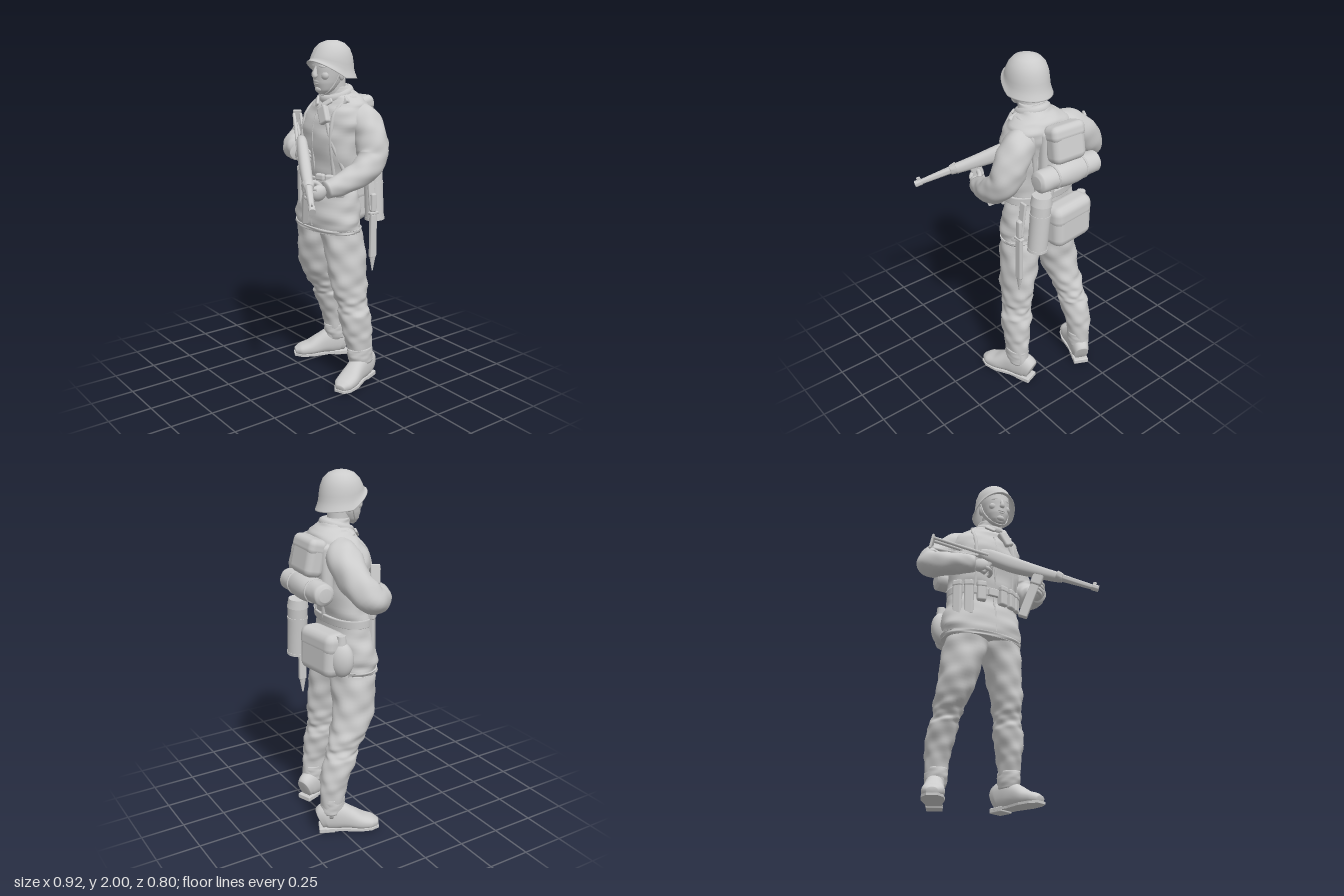
import * as THREE from 'three';
import { RoundedBoxGeometry } from 'three/addons/geometries/RoundedBoxGeometry.js';
import { toCreasedNormals } from 'three/addons/utils/BufferGeometryUtils.js';

const V = (x, y, z) => new THREE.Vector3(x, y, z);
const mat = new THREE.MeshStandardMaterial({ color: 0xcccccc, side: THREE.DoubleSide });

function add(parent, name, geo, pos = [0, 0, 0], rot = [0, 0, 0], scale = [1, 1, 1]) {
  const m = new THREE.Mesh(geo, mat);
  m.name = name;
  m.position.set(...pos);
  m.rotation.set(...rot);
  m.scale.set(...scale);
  parent.add(m);
  return m;
}

// Smooth skin through rows [x, y, z, radiusA, radiusB]; "fold" adds cloth wrinkles, "e" < 1 makes it boxier
function loft(rows, { ref = V(1, 0, 0), flat = null, fold = 0, e = 1, seg = 32, steps = 6 } = {}) {
  const path = new THREE.CatmullRomCurve3(rows.map(r => V(r[0], r[1], r[2])));
  const radii = new THREE.CatmullRomCurve3(rows.map(r => V(r[3], r[4] ?? r[3], 0)));
  const n = (rows.length - 1) * steps, pos = [], idx = [];
  const pw = v => Math.sign(v) * Math.abs(v) ** e;
  for (let i = -1; i <= n + 1; i++) {
    const t = Math.min(Math.max(i / n, 0), 1), cap = i < 0 || i > n ? 0.001 : 1;
    const c = path.getPoint(t), r = radii.getPoint(t);
    const tan = flat ?? path.getTangent(t);
    const side = ref.clone().addScaledVector(tan, -ref.dot(tan)).normalize();
    const other = tan.clone().cross(side).normalize();
    for (let j = 0; j < seg; j++) {
      const a = j / seg * Math.PI * 2, s = t * rows.length;
      const w = cap * (1 + fold * (Math.sin(3 * a + s * 3.1) + 0.7 * Math.sin(5 * a - s * 4.3) + 0.6 * Math.sin(2 * a + s * 7)));
      const p = c.clone().addScaledVector(side, r.x * w * pw(Math.cos(a))).addScaledVector(other, r.y * w * pw(Math.sin(a)));
      pos.push(p.x, p.y, p.z);
    }
  }
  for (let i = 0; i < n + 2; i++) for (let j = 0; j < seg; j++) {
    const k = (j + 1) % seg, a = i * seg + j, b = i * seg + k;
    idx.push(a, b, b + seg, a, b + seg, a + seg);
  }
  const g = new THREE.BufferGeometry();
  g.setAttribute('position', new THREE.Float32BufferAttribute(pos, 3));
  g.setIndex(idx);
  g.computeVertexNormals();
  return g;
}
const UP = V(0, 1, 0);
const box = (w, h, d, r = 0.012) => new RoundedBoxGeometry(w, h, d, 2, r);
const tube = (pts, r, seg = 24) => new THREE.TubeGeometry(new THREE.CatmullRomCurve3(pts.map(p => V(...p))), seg, r, 8);
const cyl = (r1, r2, h, n = 20) => toCreasedNormals(new THREE.CylinderGeometry(r1, r2, h, n), 0.7);

const TORSO = [
  [-0.06, 0.93, -0.09, 0.236, 0.132], [-0.06, 1.0, -0.09, 0.244, 0.138], [-0.058, 1.1, -0.095, 0.232, 0.125],
  [-0.055, 1.2, -0.1, 0.212, 0.112], [-0.05, 1.3, -0.1, 0.215, 0.127], [-0.04, 1.45, -0.1, 0.218, 0.142],
  [-0.03, 1.55, -0.115, 0.22, 0.145], [-0.015, 1.63, -0.135, 0.195, 0.135], [-0.005, 1.68, -0.14, 0.145, 0.11],
  [0, 1.715, -0.125, 0.09, 0.088], [0, 1.75, -0.11, 0.073, 0.073]];

// z of the jacket surface at x, y (s = 1 front, -1 back)
function skin(x, y, s = 1) {
  let i = 0;
  while (i < TORSO.length - 2 && TORSO[i + 1][1] < y) i++;
  const f = (y - TORSO[i][1]) / (TORSO[i + 1][1] - TORSO[i][1]);
  const [cx, , cz, a, b] = TORSO[i].map((v, k) => v + (TORSO[i + 1][k] - v) * f);
  return cz + s * b * Math.sqrt(Math.max(0.02, 1 - ((x - cx) / a) ** 2));
}

function makeHead() {
  const g = new THREE.Group();
  g.name = 'head';
  g.position.x = 0.007;
  add(g, 'neck', loft([[0, 1.64, -0.12, 0.07], [0, 1.72, -0.09, 0.062], [0, 1.8, -0.08, 0.065]], { flat: UP }));
  add(g, 'face', loft([[0, 1.713, -0.01, 0.028, 0.03], [0, 1.735, -0.022, 0.052, 0.052], [0, 1.775, -0.037, 0.07, 0.078],
    [0, 1.82, -0.046, 0.08, 0.088], [0, 1.87, -0.056, 0.086, 0.098], [0, 1.93, -0.065, 0.085, 0.097]], { flat: UP, e: 0.9 }));
  add(g, 'nose', loft([[0, 1.865, 0.034, 0.009, 0.008], [0, 1.835, 0.045, 0.011, 0.014], [0, 1.812, 0.048, 0.016, 0.016], [0, 1.803, 0.042, 0.01]], { seg: 12 }));
  const ball = new THREE.SphereGeometry(1, 16, 12);
  for (const s of [-1, 1]) {
    add(g, 'brow', ball, [s * 0.034, 1.864, 0.024], [0, s * 0.35, -s * 0.08], [0.028, 0.009, 0.014]);
    add(g, 'eye', ball, [s * 0.034, 1.845, 0.027], [0, s * 0.4, 0], [0.014, 0.005, 0.007]);
    add(g, 'cheek', ball, [s * 0.042, 1.815, 0.012], [0, 0, 0], [0.028, 0.026, 0.022]);
    add(g, 'ear', ball, [s * 0.086, 1.82, -0.07], [0, s * 0.3, 0], [0.013, 0.033, 0.022]);
  }
  add(g, 'upperLip', ball, [0, 1.782, 0.035], [0, 0, 0], [0.025, 0.006, 0.01]);
  add(g, 'lowerLip', ball, [0, 1.77, 0.033], [0, 0, 0], [0.021, 0.006, 0.01]);
  add(g, 'chin', ball, [0, 1.739, 0.021], [0, 0, 0], [0.027, 0.019, 0.018]);
  add(g, 'chinStrap', tube([[-0.095, 1.86, -0.06], [-0.081, 1.79, -0.04], [-0.052, 1.735, -0.015], [0, 1.706, 0.002],
    [0.052, 1.735, -0.015], [0.081, 1.79, -0.04], [0.095, 1.86, -0.06]], 0.005));
  // Helmet: turned dome, with the rim lifted at the front and drawn down behind
  const prof = [[0.001, 0.16], [0.035, 0.157], [0.07, 0.143], [0.097, 0.115], [0.112, 0.076], [0.117, 0.036],
    [0.118, 0.012], [0.124, -0.012], [0.132, -0.033], [0.134, -0.038], [0.129, -0.038], [0.11, 0], [0.105, 0.05]];
  const dome = new THREE.LatheGeometry(prof.map(p => new THREE.Vector2(...p)), 40);
  const p = dome.attributes.position;
  for (let i = 0; i < p.count; i++) {
    const y = p.getY(i), z = p.getZ(i), low = Math.min(1, Math.max(0, (0.09 - y) / 0.12));
    p.setY(i, y + low * z * (z > 0 ? 0.68 : 0.1));
    p.setZ(i, z * (1.03 + 0.06 * low));
  }
  dome.computeVertexNormals();
  add(g, 'helmet', dome, [0, 1.84, -0.068], [0, 0, 0], [0.97, 1, 1]);
  return g;
}

// Foot pointing along its own +z, heel at the origin
function makeBoot(x, z, turn) {
  const g = new THREE.Group();
  g.name = 'boot';
  g.position.set(x, 0, z);
  g.rotation.y = turn;
  add(g, 'upper', loft([[0, 0.075, 0.005, 0.042, 0.06], [0, 0.09, 0.04, 0.052, 0.08], [0, 0.093, 0.1, 0.055, 0.083], [0, 0.076, 0.17, 0.056, 0.064],
    [0, 0.053, 0.24, 0.063, 0.045], [0, 0.042, 0.3, 0.056, 0.034], [0, 0.032, 0.337, 0.028, 0.021]], { e: 0.85 }));
  const sole = new THREE.Shape([[0.035, 0], [0.047, 0.04], [0.046, 0.13], [0.064, 0.23], [0.058, 0.3], [0.03, 0.343],
    [-0.03, 0.343], [-0.058, 0.3], [-0.064, 0.23], [-0.046, 0.13], [-0.047, 0.04], [-0.035, 0]].map(q => new THREE.Vector2(...q)));
  add(g, 'sole', new THREE.ExtrudeGeometry(sole, { depth: 0.014, bevelEnabled: false }), [0, 0.024, 0], [Math.PI / 2, 0, 0]);
  add(g, 'heel', box(0.09, 0.03, 0.09, 0.006), [0, 0.015, 0.045]);
  return g;
}

function makeHand(name, pos, rot, mirror = 1) {
  const g = new THREE.Group();
  g.name = name;
  g.position.set(...pos);
  g.rotation.set(...rot);
  g.scale.x = mirror;
  add(g, 'palm', new THREE.SphereGeometry(1, 16, 12), [0, 0, 0], [0, 0, 0], [0.034, 0.048, 0.05]);
  for (let i = 0; i < 4; i++)
    add(g, 'finger', tube([[0.01, 0.033 - i * 0.022, 0.025], [-0.01, 0.033 - i * 0.022, 0.05], [-0.045, 0.03 - i * 0.02, 0.052], [-0.062, 0.03 - i * 0.02, 0.035]], 0.0125, 10));
  add(g, 'thumb', tube([[-0.01, 0.03, -0.02], [-0.035, 0.045, 0], [-0.045, 0.048, 0.025]], 0.014, 10));
  return g;
}

// Weapon lies along its own +x, from butt to muzzle
function makeGun() {
  const g = new THREE.Group();
  g.name = 'gun';
  const d = V(0.83, -0.36, 0.485).normalize(), side = d.clone().cross(UP).normalize();
  g.quaternion.setFromRotationMatrix(new THREE.Matrix4().makeBasis(d, side.clone().cross(d), side));
  g.position.set(-0.38, 1.55, -0.1);
  add(g, 'receiver', loft([[0.3, 0, 0, 0.026, 0.025], [0.36, -0.004, 0, 0.044, 0.032], [0.5, -0.012, 0, 0.047, 0.034],
    [0.65, -0.01, 0, 0.038, 0.032], [0.77, -0.004, 0, 0.03, 0.028], [0.81, 0, 0, 0.026, 0.026]], { ref: UP, e: 0.85 }));
  const along = [0, 0, -Math.PI / 2];
  add(g, 'barrelNut', cyl(0.027, 0.035, 0.035), [0.79, 0, 0], along);
  add(g, 'barrel', cyl(0.014, 0.022, 0.21), [0.91, 0, 0], along);
  add(g, 'muzzle', cyl(0.019, 0.019, 0.04), [1.005, 0, 0], along);
  add(g, 'frontSight', box(0.022, 0.03, 0.01, 0.004), [0.995, 0.02, 0]);
  add(g, 'magazineHousing', box(0.065, 0.08, 0.05), [0.675, -0.06, 0]);
  add(g, 'magazine', box(0.052, 0.24, 0.035, 0.006), [0.675, -0.19, 0]);
  add(g, 'grip', box(0.045, 0.11, 0.035), [0.37, -0.065, 0], [0, 0, -0.3]);
  for (const s of [-1, 1])
    add(g, 'stockArm', tube([[0.01, 0, s * 0.02], [0.18, -0.004, s * 0.02], [0.36, -0.01, s * 0.026]], 0.01));
  add(g, 'stockBrace', tube([[0.01, -0.06, 0], [0.15, -0.045, 0], [0.32, -0.015, 0]], 0.01));
  add(g, 'buttPlate', box(0.016, 0.1, 0.05, 0.006), [0.005, -0.025, 0], [0, 0, 0.15]);
  return g;
}

export function createModel() {
  const model = new THREE.Group();
  model.name = 'soldier';
  model.add(makeHead(), makeGun());

  // Jacket, hem, collar and front closure
  add(model, 'jacket', loft(TORSO, { flat: UP, fold: 0.018, e: 0.9, seg: 56 }));
  add(model, 'hem', loft([[-0.06, 0.925, -0.09, 0.238, 0.137], [-0.06, 0.95, -0.09, 0.246, 0.142]], { flat: UP, fold: 0.014, e: 0.9, seg: 48 }));
  add(model, 'collar', new THREE.TorusGeometry(0.076, 0.02, 10, 32), [0, 1.705, -0.105], [Math.PI / 2 + 0.35, 0, 0], [1, 1.05, 1.3]);
  for (const s of [-1, 1]) add(model, 'lapel', box(0.07, 0.03, 0.015, 0.007), [s * 0.045, 1.665, -0.005], [-0.5, s * 0.35, s * 0.8]);
  add(model, 'frontSeam', tube([0.96, 1.1, 1.2, 1.35, 1.5, 1.6].map(y => [-0.03, y, skin(-0.03, y)]), 0.006));

  // Arms and hands
  const sleeve = { fold: 0.028, steps: 8 };
  add(model, 'rightArm', loft([[-0.1, 1.61, -0.15, 0.07], [-0.2, 1.57, -0.18, 0.095], [-0.31, 1.48, -0.175, 0.088], [-0.378, 1.395, -0.125, 0.08],
    [-0.33, 1.368, -0.045, 0.07], [-0.24, 1.365, 0.01, 0.06], [-0.165, 1.365, 0.04, 0.048]], { ...sleeve, ref: V(-1, 1, 0) }));
  add(model, 'leftArm', loft([[0.08, 1.605, -0.15, 0.07], [0.155, 1.56, -0.18, 0.09], [0.21, 1.47, -0.185, 0.092], [0.242, 1.37, -0.165, 0.085],
    [0.255, 1.3, -0.085, 0.074], [0.23, 1.25, 0.02, 0.062], [0.205, 1.22, 0.12, 0.048]], { ...sleeve, ref: V(1, 1, 0) }));
  model.add(makeHand('leftHand', [0.185, 1.205, 0.155], [0, 0, -0.3]));
  model.add(makeHand('rightHand', [-0.13, 1.365, 0.045], [0, 1.0, -0.4], -1));

  // Trousers, bunched above the boot cuffs, and boots
  const cloth = { flat: UP, fold: 0.036, steps: 7 };
  add(model, 'rightLeg', loft([[-0.145, 1.0, -0.09, 0.13, 0.12], [-0.16, 0.88, -0.1, 0.127, 0.125], [-0.185, 0.74, -0.11, 0.112, 0.122],
    [-0.205, 0.62, -0.14, 0.1, 0.115], [-0.215, 0.54, -0.18, 0.085, 0.105], [-0.218, 0.485, -0.205, 0.076, 0.093], [-0.228, 0.44, -0.222, 0.083, 0.095],
    [-0.232, 0.34, -0.258, 0.077, 0.088], [-0.235, 0.25, -0.278, 0.066, 0.075], [-0.237, 0.1, -0.285, 0.052, 0.062]], cloth));
  add(model, 'leftLeg', loft([[0.04, 1.0, -0.09, 0.125, 0.12], [0.07, 0.88, -0.1, 0.115, 0.125], [0.1, 0.74, -0.11, 0.096, 0.122],
    [0.115, 0.62, -0.115, 0.083, 0.118], [0.125, 0.54, -0.125, 0.077, 0.105], [0.13, 0.485, -0.132, 0.073, 0.093], [0.138, 0.43, -0.14, 0.084, 0.1],
    [0.15, 0.33, -0.152, 0.072, 0.096], [0.157, 0.25, -0.165, 0.06, 0.088], [0.155, 0.1, -0.19, 0.048, 0.066]], cloth));
  for (const [x, z, w, d] of [[-0.235, -0.28, 0.06, 0.07], [0.158, -0.17, 0.056, 0.083]])
    add(model, 'gaiter', loft([[x, 0.12, z - 0.01, w, d - 0.008], [x, 0.17, z, w + 0.004, d], [x, 0.215, z, w + 0.003, d]], { flat: UP, fold: 0.015 }));
  model.add(makeBoot(-0.205, -0.355, -0.45), makeBoot(0.125, -0.275, 0.34));

  // Belt, buckle, pouches and shoulder straps
  add(model, 'belt', loft([[-0.053, 1.195, -0.1, 0.22, 0.121], [-0.053, 1.24, -0.1, 0.22, 0.126]], { flat: UP, e: 0.9, seg: 48 }));
  add(model, 'buckle', box(0.06, 0.05, 0.02, 0.006), [-0.04, 1.217, 0.022]);
  for (const x of [-0.24, -0.185, -0.115, 0.025, 0.085, 0.13]) {
    const turn = (x + 0.05) * 4.2, z = skin(x, 1.2) + 0.012, long = x < -0.15 ? 0.1 : 0;
    add(model, 'pouch', box(0.055, 0.12 + long, 0.045), [x, 1.205 - long / 2, z], [0, turn, 0]);
    add(model, 'pouchFlap', box(0.059, 0.04, 0.052), [x, 1.25, z], [0, turn, 0]);
  }
  for (const [x0, x1] of [[-0.15, -0.115], [0.1, 0.11]]) {
    const front = [1.25, 1.35, 1.45, 1.55, 1.62].map(y => [x0, y, skin(x0, y)]);
    const back = [1.62, 1.5, 1.35, 1.22].map((y, i) => [x1 * (1 - i * 0.2), y, skin(x1 * (1 - i * 0.2), y, -1)]);
    add(model, 'shoulderStrap', tube([...front, [x1, 1.69, -0.13], ...back], 0.012, 60));
    add(model, 'strapBuckle', box(0.05, 0.035, 0.04, 0.008), [x1, 1.675, -0.09], [-0.5, 0, -Math.sign(x1) * 0.6]);
  }
  add(model, 'chestLamp', box(0.065, 0.1, 0.04), [0.045, 1.6, 0.015], [-0.2, 0.1, 0.5]);
  add(model, 'chestStrap', tube([1.56, 1.48, 1.4, 1.3].map((y, i) => [0.07 + i * 0.025, y, skin(0.07 + i * 0.025, y)]), 0.012));

  // Back load: pack, rolled sheet with ties, canister, bread bag and canteen
  add(model, 'pack', box(0.21, 0.2, 0.11, 0.04), [-0.055, 1.575, -0.308], [0.2, 0, 0.03]);
  add(model, 'packFlap', box(0.218, 0.09, 0.11, 0.035), [-0.055, 1.635, -0.298], [0.25, 0, 0.03]);
  add(model, 'packFrame', box(0.24, 0.32, 0.07, 0.03), [-0.055, 1.49, -0.25]);
  add(model, 'sheetRoll', loft([[-0.262, 1.41, -0.325, 0.035], [-0.245, 1.41, -0.325, 0.059], [-0.15, 1.41, -0.325, 0.062],
    [0.04, 1.41, -0.325, 0.062], [0.135, 1.41, -0.325, 0.059], [0.152, 1.41, -0.325, 0.035]], { ref: UP, fold: 0.01 }));
  for (const x of [-0.15, 0.04])
    add(model, 'rollTie', new THREE.TorusGeometry(0.062, 0.006, 8, 24), [x, 1.41, -0.325], [0, Math.PI / 2, 0]);
  const can = new THREE.Group();
  can.name = 'canister';
  can.position.set(0.105, 1.13, -0.3);
  can.rotation.z = 0.08;
  add(can, 'body', cyl(0.055, 0.055, 0.3, 24), [0, -0.01, 0]);
  add(can, 'lid', cyl(0.052, 0.06, 0.05, 24), [0, 0.15, 0]);
  for (const y of [-0.15, 0.06]) add(can, 'rib', cyl(0.058, 0.058, 0.014, 24), [0, y, 0]);
  model.add(can);
  add(model, 'breadBag', box(0.28, 0.25, 0.13, 0.05), [-0.125, 1.06, -0.27], [0.05, 0.12, 0]);
  add(model, 'bagFlap', box(0.288, 0.13, 0.14, 0.05), [-0.125, 1.12, -0.265], [0.05, 0.12, 0]);
  add(model, 'canteen', new THREE.SphereGeometry(1, 24, 16), [-0.255, 1.04, -0.23], [0, 0.7, 0], [0.07, 0.1, 0.055]);
  add(model, 'canteenCap', cyl(0.025, 0.03, 0.05), [-0.255, 1.15, -0.23]);

  // Bayonet in its scabbard on the left hip
  const knife = new THREE.Group();
  knife.name = 'bayonet';
  knife.position.set(0.188, 0.96, -0.23);
  add(knife, 'scabbard', box(0.025, 0.26, 0.045, 0.008), [0, -0.06, 0]);
  add(knife, 'tip', cyl(0.022, 0.004, 0.09, 12), [0, -0.225, 0], [0, 0, 0], [0.6, 1, 1]);
  add(knife, 'guard', box(0.03, 0.016, 0.06, 0.005), [0, 0.075, 0]);
  add(knife, 'handle', box(0.028, 0.11, 0.035, 0.01), [-0.002, 0.135, 0]);
  add(knife, 'hanger', box(0.016, 0.2, 0.045, 0.006), [-0.018, 0.19, 0], [0, 0, 0.12]);
  model.add(knife);
  return model;
}
